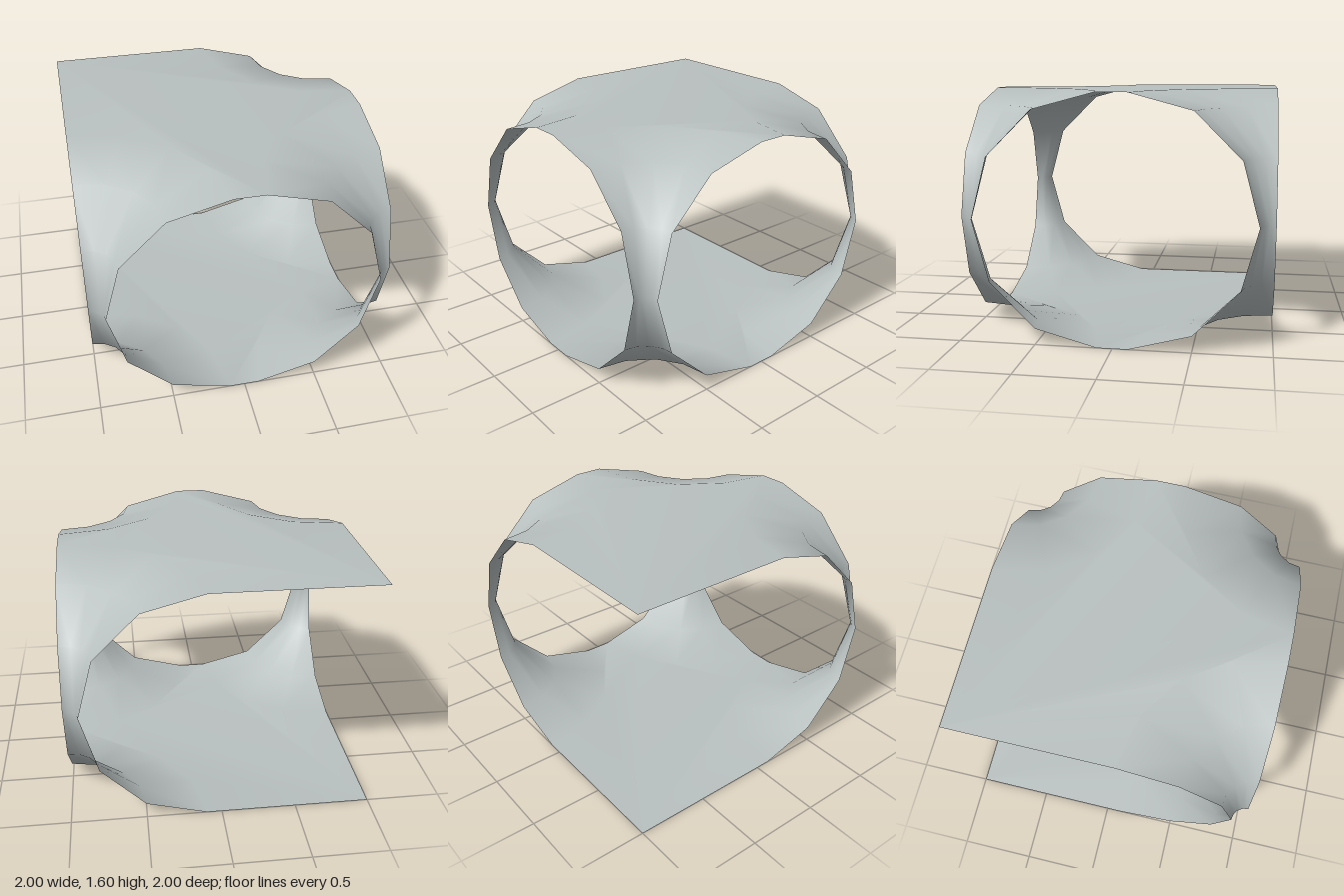
import * as THREE from 'three';
import { mergeGeometries, mergeVertices } from 'three/addons/utils/BufferGeometryUtils.js';

const H = 1.6, RIM = 0.9, ARC = 0.8, STEPS = 4;

// Waisted quarter column, opening towards the corner at (cx, cz)
function quarterColumn(cx, cz, startAngle) {
  const profile = [];
  for (let i = 0; i <= 6; i++) {
    const a = Math.PI / 2 - (i * Math.PI) / 6;
    profile.push(new THREE.Vector2(RIM - ARC * Math.cos(a), H / 2 + ARC * Math.sin(a)));
  }
  return new THREE.LatheGeometry(profile, STEPS, startAngle, Math.PI / 2).translate(cx, 0, cz);
}

// Flat square sheet with three corners cut away by quarter circles
function sheet(top) {
  const s = top ? -1 : 1;
  const pts = [];
  const notch = (cx, cz, startAngle) => {
    for (let i = 0; i <= STEPS; i++) {
      const a = startAngle - (i / STEPS) * (Math.PI / 2);
      pts.push(new THREE.Vector2(cx + RIM * Math.cos(a), s * (cz + RIM * Math.sin(a))));
    }
  };
  notch(1, 1, -Math.PI / 2);
  notch(-1, 1, 0);
  pts.push(new THREE.Vector2(-1, -s));
  notch(1, -1, Math.PI);
  return new THREE.ShapeGeometry(new THREE.Shape(pts))
    .rotateX(s * Math.PI / 2)
    .translate(0, top ? H : 0, 0);
}

export function createModel() {
  const group = new THREE.Group();
  group.name = 'curvedShell';
  const paleGrey = new THREE.MeshStandardMaterial({ color: 0xb9c0c0, side: THREE.DoubleSide });
  paleGrey.name = 'pale grey';

  // Sheets and columns are welded so the shading runs smoothly across the joins
  const parts = [
    sheet(true),
    sheet(false),
    quarterColumn(1, 1, Math.PI),
    quarterColumn(-1, 1, Math.PI / 2),
    quarterColumn(1, -1, Math.PI * 1.5),
  ];
  for (const p of parts) {
    p.deleteAttribute('normal');
    p.deleteAttribute('uv');
  }
  const shell = mergeVertices(mergeGeometries(parts), 1e-4);
  shell.computeVertexNormals();

  const mesh = new THREE.Mesh(shell, paleGrey);
  mesh.name = 'sheetsAndColumns';
  group.add(mesh);
  return group;
}
